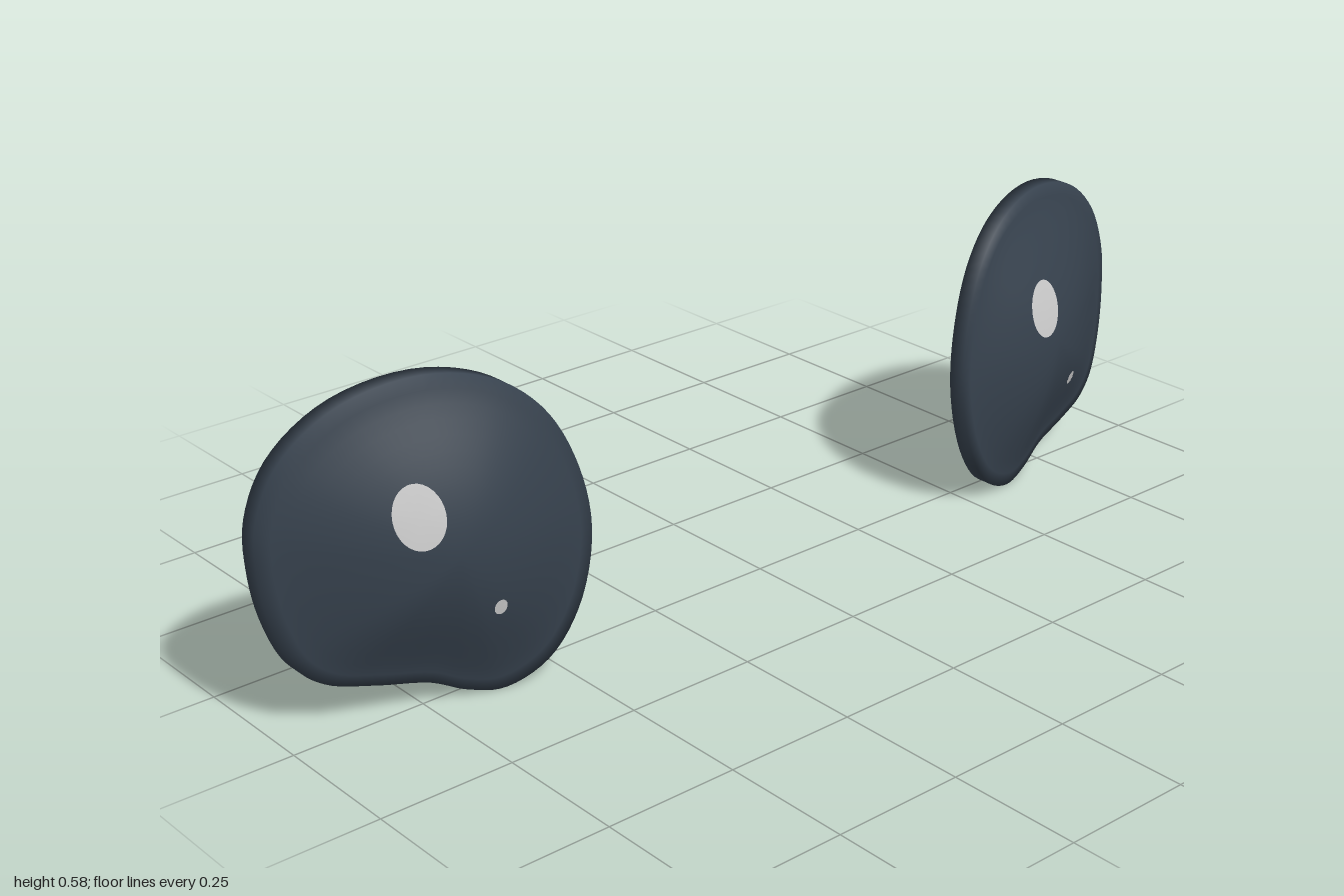
import * as THREE from 'three';

// Outline of the left eye, anticlockwise from the top when seen from the front
const OUTLINE = [
  [0.71, 0.58], [0.59, 0.55], [0.51, 0.48], [0.46, 0.37], [0.445, 0.25], [0.475, 0.12],
  [0.535, 0.035], [0.615, 0.001], [0.68, 0.014], [0.74, 0.042], [0.83, 0.06], [0.91, 0.082],
  [0.955, 0.12], [0.987, 0.2], [1.0, 0.29], [0.995, 0.38], [0.95, 0.475], [0.85, 0.552],
];
const CX = 0.71, CY = 0.29;
const HALF_RIM = 0.017, DOME = 0.073;
const SEGMENTS = 96, RINGS = 12;

const rim = new THREE.CatmullRomCurve3(
  OUTLINE.map(([x, y]) => new THREE.Vector3(x, y, 0)), true
).getPoints(SEGMENTS).slice(0, SEGMENTS);

// The rim lies in a plane swept back to the outside and tilted slightly back
const planeZ = (x, y) => -0.01 - 0.258 * (x - CX) - 0.052 * (y - CY);
const frontZ = (x, y, t) =>
  planeZ(x, y) + HALF_RIM + DOME * Math.pow(Math.max(0, 1 - t * t), 1.5);

// Fraction of the way from the centre to the rim
function rimFraction(x, y) {
  const dx = x - CX, dy = y - CY, d = Math.hypot(dx, dy);
  if (d < 1e-6) return 0;
  let best = -2, radius = 1;
  for (const p of rim) {
    const r = Math.hypot(p.x - CX, p.y - CY);
    const c = (dx * (p.x - CX) + dy * (p.y - CY)) / (d * r);
    if (c > best) { best = c; radius = r; }
  }
  return d / radius;
}

// Domed front, narrow rim and flat back, smooth all over
function eyeGeometry(side) {
  const positions = [], index = [];
  const tri = (a, b, c) => (side > 0 ? index.push(a, b, c) : index.push(a, c, b));
  positions.push(side * CX, CY, frontZ(CX, CY, 0));
  for (let i = 1; i <= RINGS + 1; i++) {
    const t = Math.min(1, i / RINGS);
    for (const p of rim) {
      const x = CX + (p.x - CX) * t, y = CY + (p.y - CY) * t;
      positions.push(side * x, y, i > RINGS ? planeZ(x, y) - HALF_RIM : frontZ(x, y, t));
    }
  }
  const back = positions.length / 3;
  positions.push(side * CX, CY, planeZ(CX, CY) - HALF_RIM);
  for (let j = 0; j < SEGMENTS; j++) {
    const k = (j + 1) % SEGMENTS;
    tri(0, 1 + j, 1 + k);
    for (let i = 0; i < RINGS; i++) {
      const a = 1 + i * SEGMENTS, b = a + SEGMENTS;
      tri(a + j, b + j, b + k);
      tri(a + j, b + k, a + k);
    }
    const last = 1 + RINGS * SEGMENTS;
    tri(back, last + k, last + j);
  }
  const g = new THREE.BufferGeometry();
  g.setAttribute('position', new THREE.Float32BufferAttribute(positions, 3));
  g.setIndex(index);
  g.computeVertexNormals();
  return g;
}

// Oval spot laid on the domed front
function spotGeometry(x, y, rx, ry) {
  const g = new THREE.CircleGeometry(1, 32);
  g.scale(rx, ry, 1).translate(x, y, 0);
  const p = g.attributes.position;
  for (let i = 0; i < p.count; i++) {
    const ax = Math.abs(p.getX(i)), py = p.getY(i);
    p.setZ(i, frontZ(ax, py, rimFraction(ax, py)) + 0.003);
  }
  g.computeVertexNormals();
  return g;
}

export function createModel() {
  const model = new THREE.Group();
  model.name = 'eyes';
  const dark = new THREE.MeshStandardMaterial({ color: 0x36414d });
  const white = new THREE.MeshStandardMaterial({ color: 0xffffff });
  const add = (parent, name, geometry, material) => {
    const mesh = new THREE.Mesh(geometry, material);
    mesh.name = name;
    parent.add(mesh);
  };
  for (const side of [1, -1]) {
    const eye = new THREE.Group();
    eye.name = side > 0 ? 'leftEye' : 'rightEye';
    add(eye, 'eyeball', eyeGeometry(side), dark);
    // Highlights sit on the same side of both eyes
    const mid = side * 0.717;
    add(eye, 'largeHighlight', spotGeometry(mid - 0.051, 0.368, 0.041, 0.055), white);
    add(eye, 'smallHighlight', spotGeometry(mid + 0.073, 0.18, 0.012, 0.014), white);
    model.add(eye);
  }
  return model;
}
